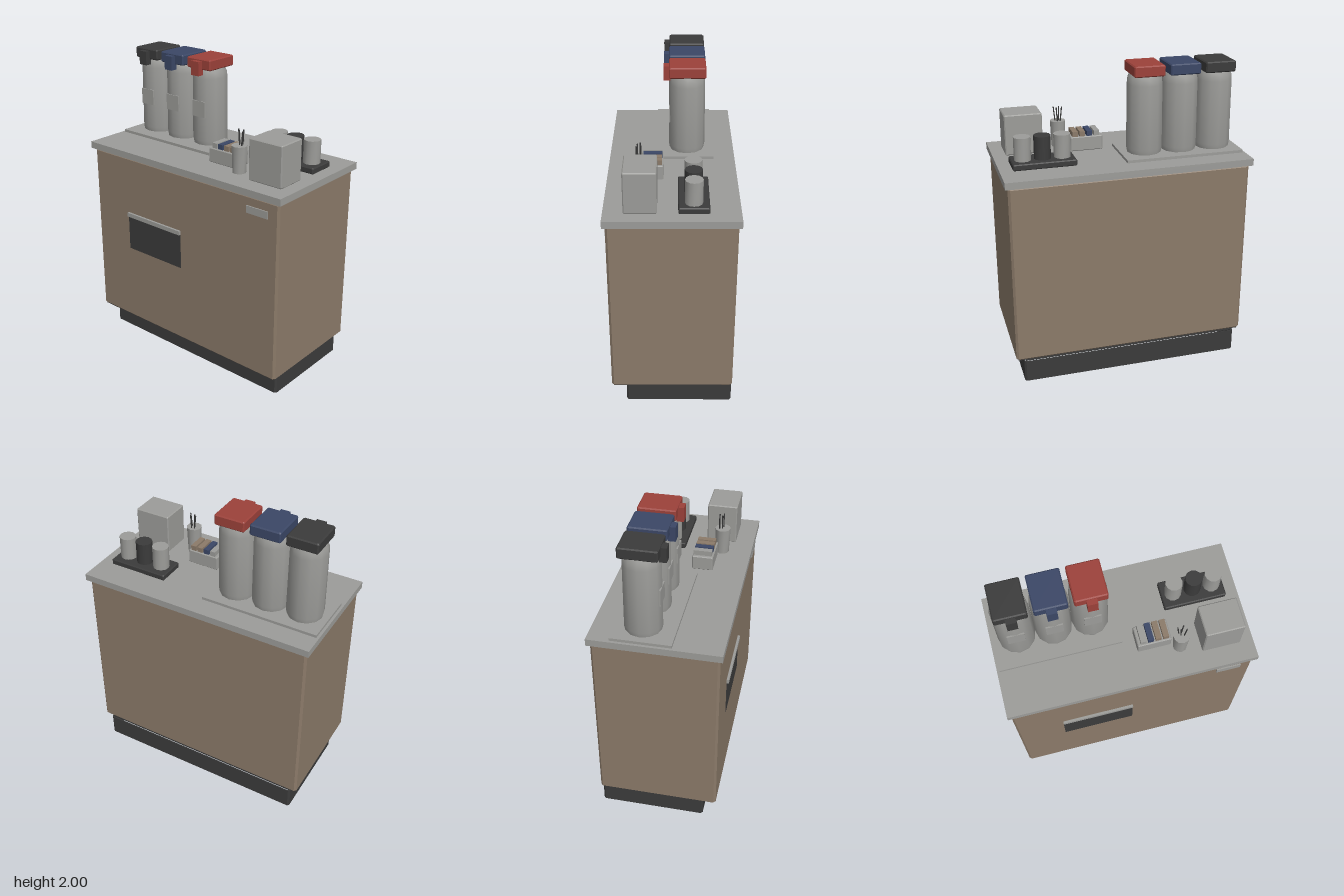
import * as THREE from 'three';
import { toCreasedNormals } from 'three/addons/utils/BufferGeometryUtils.js';

function mat(name, color) {
  const m = new THREE.MeshStandardMaterial({ color });
  m.name = name;
  return m;
}

// Rectangle with cut corners
function cutRect(w, d, c, Type = THREE.Shape) {
  const x = w / 2, y = d / 2;
  return new Type([
    [x - c, -y], [x, -y + c], [x, y - c], [x - c, y],
    [-x + c, y], [-x, y - c], [-x, -y + c], [-x + c, -y],
  ].map(([a, b]) => new THREE.Vector2(a, b)));
}

// Box with one flat chamfer on every edge, centred on the origin
function chamferBox(w, h, d, b) {
  const g = new THREE.ExtrudeGeometry(cutRect(w - 2 * b, d - 2 * b, b * 0.5), {
    depth: h - 2 * b, bevelEnabled: true, bevelSize: b, bevelThickness: b, bevelSegments: 1,
  });
  g.rotateX(-Math.PI / 2);
  g.translate(0, b - h / 2, 0);
  return g;
}

export function createModel() {
  const root = new THREE.Group();
  root.name = 'beverageStation';
  const wood = mat('woodTan', 0x8b7a69);
  const grey = mat('steelGrey', 0x9c9c99);
  const dark = mat('charcoal', 0x3b3b3b);
  const red = mat('red', 0x9c413a);
  const blue = mat('navyBlue', 0x3b4766);

  function add(name, geometry, material, x = 0, y = 0, z = 0, parent = root) {
    const m = new THREE.Mesh(geometry, material);
    m.name = name;
    m.position.set(x, y, z);
    parent.add(m);
    return m;
  }
  // Box given by its limits on each axis, optionally chamfered
  function block(name, material, [x0, x1], [y0, y1], [z0, z1], bevel = 0, parent = root) {
    const w = x1 - x0, h = y1 - y0, d = z1 - z0;
    const g = bevel ? chamferBox(w, h, d, bevel) : new THREE.BoxGeometry(w, h, d);
    return add(name, g, material, (x0 + x1) / 2, (y0 + y1) / 2, (z0 + z1) / 2, parent);
  }

  // Hollow plinth, open at the floor
  const wall = cutRect(1.462, 0.682, 0.012);
  wall.holes.push(cutRect(1.45, 0.67, 0.012, THREE.Path));
  const plinth = new THREE.ExtrudeGeometry(wall, { depth: 0.147, bevelEnabled: false });
  plinth.rotateX(-Math.PI / 2);
  add('plinth', plinth, dark, -0.003, 0, -0.045);
  block('plinthLid', dark, [-0.724, 0.718], [0.147, 0.158], [-0.376, 0.286]);

  // Cabinet with dark underside, and worktop
  block('cabinet', wood, [-0.778, 0.778], [0.16, 1.36], [-0.387, 0.387], 0.013);
  block('cabinetUnderside', dark, [-0.764, 0.764], [0.156, 0.163], [-0.374, 0.374]);
  block('worktop', grey, [-0.797, 0.797], [1.36, 1.405], [-0.405, 0.405]);

  // Front details
  block('hatchPanel', dark, [-0.473, 0], [0.7, 0.94], [0.382, 0.39]);
  block('hatchHandle', grey, [-0.473, 0], [0.94, 0.968], [0.38, 0.402]);
  block('frontPlate', grey, [0.542, 0.7], [1.25, 1.297], [0.386, 0.395]);

  // Drip tray and the three dispensers
  block('dispenserTray', grey, [-0.78, 0], [1.405, 1.423], [-0.267, 0.105]);
  const profile = [[0, 1.423], [0.112, 1.423], [0.118, 1.455], [0.115, 1.87], [0.111, 1.905], [0.1, 1.932], [0, 1.932]]
    .map(([r, y]) => new THREE.Vector2(r, y));
  const flask = toCreasedNormals(new THREE.LatheGeometry(profile, 12), 0.65);
  [[-0.626, dark], [-0.393, blue], [-0.159, red]].forEach(([x, colour]) => {
    const g = new THREE.Group();
    g.name = 'dispenser';
    g.position.x = x;
    root.add(g);
    add('flask', flask, grey, 0, 0, -0.095, g);
    block('flaskLabel', grey, [-0.053, 0.053], [1.615, 1.72], [0.013, 0.022], 0, g);
    block('cap', colour, [-0.1, 0.1], [1.93, 2], [-0.213, 0.021], 0.007, g);
    block('spout', colour, [-0.031, 0.031], [1.895, 1.987], [0.01, 0.055], 0, g);
  });

  // Napkin box
  block('napkinBox', grey, [0.468, 0.713], [1.405, 1.67], [0.087, 0.285], 0.006);

  // Cup tray with three stacks
  block('cupTray', dark, [0.312, 0.715], [1.405, 1.445], [-0.221, -0.036], 0.006);
  const cup = toCreasedNormals(new THREE.CylinderGeometry(0.054, 0.054, 0.15, 12), 0.65);
  [grey, dark, grey].forEach((m, i) => add('cupStack', cup, m, 0.388 + i * 0.126, 1.52, -0.128));

  // Sachet holder
  block('sachetHolder', grey, [0.077, 0.291], [1.405, 1.5], [0.055, 0.19], 0.005);
  [grey, blue, wood, wood].forEach((m, i) => {
    const x = 0.115 + i * 0.0475;
    block('sachets', m, [x - 0.018, x + 0.018], [1.49, 1.533], [0.062, 0.18]);
  });

  // Stirrer pot with thin stirrers
  const pot = toCreasedNormals(new THREE.CylinderGeometry(0.051, 0.044, 0.173, 10), 0.7);
  add('stirrerPot', pot, grey, 0.342, 1.4915, 0.212);
  [[-0.018, -0.02, 0.12], [0.008, -0.024, -0.06], [-0.006, -0.004, 0.04], [0.02, 0.002, -0.1]].forEach(([x, z, tilt]) => {
    const s = add('stirrer', new THREE.CylinderGeometry(0.004, 0.004, 0.12, 6), dark, 0.342 + x, 1.612, 0.212 + z);
    s.rotation.z = tilt;
  });
  return root;
}
